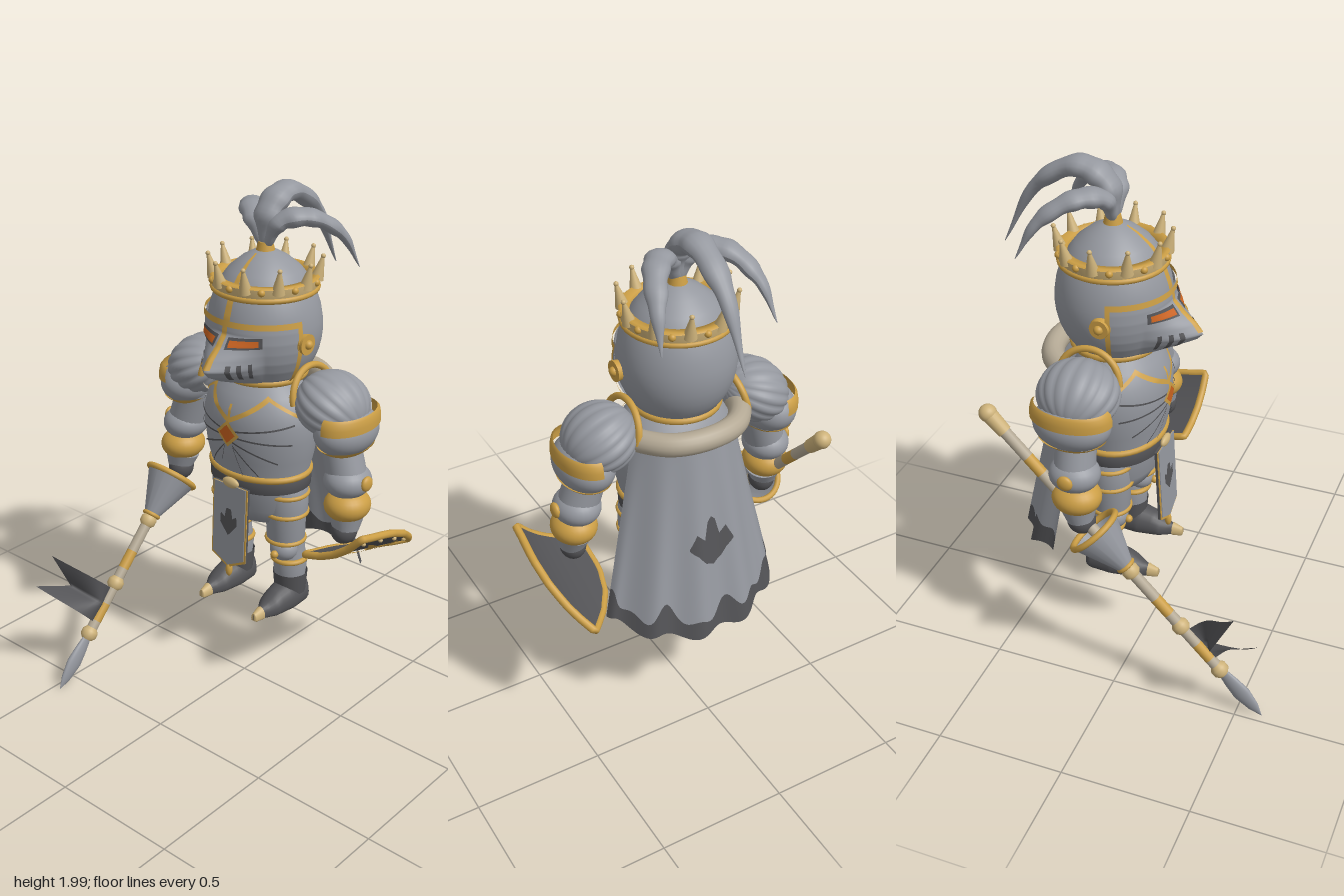
import * as THREE from 'three';
import { ParametricGeometry } from 'three/addons/geometries/ParametricGeometry.js';

const mat = (name, color) => Object.assign(new THREE.MeshStandardMaterial({ color, side: THREE.DoubleSide }), { name });
const V = (x, y, z) => new THREE.Vector3(x, y, z);

// piecewise linear profile through [t, value] pairs
function pl(pts, t) {
  for (let i = 1; i < pts.length; i++) {
    const [a, p] = pts[i - 1], [b, q] = pts[i];
    if (t <= b) return p + (q - p) * Math.max(0, (t - a) / (b - a));
  }
  return pts[pts.length - 1][1];
}

// part of a surface fn(u, v, offset, target) between u0..u1 and lo(u)..hi(u)
function patch(fn, u0, u1, lo, hi, off = 0, nu = 16, nv = 6) {
  const at = (f, u) => (typeof f === 'function' ? f(u) : f);
  const g = new ParametricGeometry((s, t, p) => {
    const u = u0 + (u1 - u0) * s;
    fn(u, at(lo, u) + (at(hi, u) - at(lo, u)) * t, off, p);
  }, nu, nv);
  g.computeVertexNormals();
  return g;
}

export function createModel() {
  const steel = mat('steel', 0x95989f), dark = mat('darkSteel', 0x535356), gold = mat('gold', 0xcb9e45);
  const pale = mat('paleGold', 0xcdb27a), bone = mat('fur', 0xb4a995), orange = mat('orangeGlow', 0xcc6420);
  const root = new THREE.Group();
  root.name = 'knight';
  const body = new THREE.Group();
  body.name = 'body';
  body.position.x = -0.035;
  root.add(body);

  const add = (parent, name, geo, m, x = 0, y = 0, z = 0) => {
    const mesh = new THREE.Mesh(geo, m);
    mesh.name = name;
    mesh.position.set(x, y, z);
    parent.add(mesh);
    return mesh;
  };
  const ball = (parent, name, m, x, y, z, rx, ry = rx, rz = rx) => {
    const b = add(parent, name, new THREE.SphereGeometry(1, 28, 18), m, x, y, z);
    b.scale.set(rx, ry, rz);
    return b;
  };
  const limb = (parent, name, m, p, q, r1, r2) => {
    const d = q.clone().sub(p), c = p.clone().lerp(q, 0.5);
    const mesh = add(parent, name, new THREE.CylinderGeometry(r2, r1, d.length(), 24), m, c.x, c.y, c.z);
    mesh.quaternion.setFromUnitVectors(V(0, 1, 0), d.normalize());
    return mesh;
  };
  // flat ring around the vertical axis
  const ring = (parent, name, m, x, y, z, r, tube, sz = 1) =>
    add(parent, name, new THREE.TorusGeometry(r, tube, 10, 40).rotateX(Math.PI / 2).scale(1, 1, sz), m, x, y, z);
  const lathe = (pts, start = 0, sweep = Math.PI * 2) =>
    new THREE.LatheGeometry(pts.map(([y, r]) => new THREE.Vector2(r, y)), 48, start, sweep);

  // ---- helmet ----
  const HZ = -0.16;
  const headP = [[1.27, 0.13], [1.3, 0.165], [1.34, 0.19], [1.38, 0.207], [1.42, 0.216], [1.46, 0.22], [1.5, 0.218],
    [1.55, 0.21], [1.6, 0.193], [1.65, 0.168], [1.69, 0.138], [1.73, 0.09], [1.755, 0.045], [1.77, 0.001]];
  const headFn = (a, y, o, p) => { const r = pl(headP, y) + o; p.set(r * Math.sin(a), y, HZ + r * Math.cos(a)); };
  const beak = [[1.275, 0.05], [1.31, 0.55], [1.345, 0.9], [1.37, 1], [1.41, 0.68], [1.45, 0.27], [1.49, 0]];
  const visorFn = (a, y, o, p) =>
    headFn(a, y, o + 0.008 + 0.135 * pl(beak, y) * Math.pow(Math.max(0, 1 - Math.abs(a) / 0.7), 1.35), p);
  add(body, 'helmet', lathe(headP), steel, 0, 0, HZ);
  add(body, 'visor', patch(visorFn, -1.3, 1.3, 1.28, 1.535, 0, 80, 51), steel);
  add(body, 'visorTopTrim', patch(headFn, -1.32, 1.32, 1.52, 1.542, 0.016, 40, 2), gold);
  add(body, 'visorRidge', patch(visorFn, -0.05, 0.05, 1.38, 1.535, 0.006, 6, 30), gold);
  add(body, 'helmetRidge', patch(headFn, -0.07, 0.07, 1.535, 1.755, 0.008, 4, 20), gold);
  ring(body, 'helmetCollar', gold, 0, 1.285, HZ, 0.155, 0.016);
  for (const s of [-1, 1]) {
    add(body, 'visorSideTrim', patch(headFn, s * 1.25, s * 1.33, 1.285, 1.542, 0.016, 3, 12), gold);
    const slant = d => u => d + 0.012 * Math.abs(u);
    add(body, 'eyeSlit', patch(visorFn, s * 0.1, s * 0.66, slant(1.444), slant(1.484), 0.006, 24, 8), dark);
    add(body, 'eye', patch(visorFn, s * 0.14, s * 0.6, slant(1.452), slant(1.475), 0.009, 20, 6), orange);
    for (const a of [0.22, 0.34, 0.48])
      add(body, 'vent', patch(visorFn, s * (a - 0.03), s * (a + 0.025), 1.33, 1.395, 0.006, 6, 14), dark);
    const pivot = add(body, 'visorPivot', new THREE.CylinderGeometry(0.036, 0.04, 0.03, 24), gold, s * 0.222, 1.45, HZ + 0.035);
    pivot.rotation.z = Math.PI / 2;
    ball(body, 'pivotKnob', gold, s * 0.236, 1.45, HZ + 0.035, 0.018);
  }

  // ---- crown ----
  const crown = new THREE.Group();
  crown.name = 'crown';
  crown.position.set(0, 0, HZ);
  body.add(crown);
  add(crown, 'crownBand', lathe([[1.615, 0.19], [1.615, 0.2], [1.665, 0.204]]), pale);
  add(crown, 'crownTop', lathe([[1.665, 0.206], [1.672, 0.198], [1.668, 0.168], [1.64, 0.165]]), gold);
  ring(crown, 'crownRim', gold, 0, 1.622, 0, 0.196, 0.012);
  for (let i = 0; i < 10; i++) {
    const a = (i + 0.5) / 10 * Math.PI * 2, sx = Math.sin(a), cz = Math.cos(a);
    limb(crown, 'crownPoint', pale, V(sx * 0.192, 1.65, cz * 0.192), V(sx * 0.213, 1.735, cz * 0.213), 0.026, 0.006);
    ball(crown, 'crownPearl', pale, sx * 0.214, 1.738, cz * 0.214, 0.009);
    ball(crown, 'crownStud', gold, Math.sin(a + 0.314) * 0.202, 1.655, Math.cos(a + 0.314) * 0.202, 0.014);
  }

  // ---- plume ----
  const feather = (pts, width, thick) => {
    const c = new THREE.CatmullRomCurve3(pts), end = pts[pts.length - 1];
    const side = V(end.x, 0, end.z - pts[0].z).cross(V(0, 1, 0)).normalize();
    const g = new ParametricGeometry((u, v, p) => {
      const a = u * Math.PI * 2, n = side.clone().cross(c.getTangent(v)).normalize();
      const w = pl([[0, 0.45], [0.2, 0.9], [0.4, 1], [0.7, 0.72], [1, 0.03]], v) * (1 + 0.06 * Math.sin(v * 40));
      p.copy(c.getPoint(v)).addScaledVector(side, width * w * Math.cos(a)).addScaledVector(n, thick * w * Math.sin(a));
    }, 16, 40);
    g.computeVertexNormals();
    add(body, 'plumeFeather', g, steel);
  };
  add(body, 'plumeSocket', new THREE.CylinderGeometry(0.028, 0.04, 0.05, 20), gold, 0, 1.765, HZ);
  feather([V(0, 1.77, -0.16), V(0, 1.9, -0.175), V(0, 1.955, -0.28), V(0, 1.86, -0.45), V(0, 1.61, -0.595)], 0.06, 0.043);
  for (const s of [-1, 1])
    feather([V(0, 1.77, -0.16), V(s * 0.06, 1.87, -0.17), V(s * 0.14, 1.885, -0.25), V(s * 0.2, 1.81, -0.36), V(s * 0.228, 1.67, -0.44)], 0.052, 0.036);

  // ---- breastplate ----
  const chestP = [[0.86, 0.205], [0.9, 0.208], [0.97, 0.226], [1.05, 0.238], [1.12, 0.24], [1.18, 0.225], [1.23, 0.19], [1.28, 0.14], [1.3, 0.1]];
  const chestFn = (a, y, o, p) => { const r = pl(chestP, y) + o; p.set(r * Math.sin(a), y, -0.14 + 0.8 * r * Math.cos(a)); };
  add(body, 'breastplate', lathe(chestP).scale(1, 1, 0.8), steel, 0, 0, -0.14);
  const seam = (name, m, a0, y0, a1, y1, w) => {
    const f = d => u => y0 + (y1 - y0) * (u - a0) / (a1 - a0) + d;
    add(body, name, patch(chestFn, a0, a1, f(-w), f(w), 0.006, 20, 2), m);
  };
  add(body, 'chestRidge', patch(chestFn, -0.025, 0.025, 1.1, 1.2, 0.006, 3, 16), gold);
  for (const s of [-1, 1]) {
    seam('neckTrim', gold, s * 0.02, 1.14, s * 0.75, 1.235, 0.01);
    seam('sideTrim', gold, s * 0.75, 1.235, s * 1.3, 1.17, 0.008);
    [[0.25, 0.91], [0.55, 0.92], [0.9, 0.98], [1.15, 1.06], [1.2, 1.14]].forEach(([a, y]) =>
      seam('chestGroove', dark, s * 0.08, 1.03 + (y - 0.9) * 0.28, s * a, y, 0.0035));
  }
  const gem = (name, m, h) =>
    add(body, name, patch(chestFn, -h * 4, h * 4, u => 1.085 - h + Math.abs(u) / 4, u => 1.085 + h - Math.abs(u) / 4, 0.02 - h * 0.15, 16, 4), m);
  gem('gemFrame', gold, 0.055);
  gem('gem', orange, 0.038);

  // ---- belt, hips and tabard ----
  ring(body, 'beltTrim', gold, 0, 0.9, -0.14, 0.209, 0.014, 0.8);
  add(body, 'belt', lathe([[0.835, 0.205], [0.84, 0.215], [0.885, 0.217], [0.89, 0.205]]).scale(1, 1, 0.8), dark, 0, 0, -0.14);
  add(body, 'hips', lathe([[0.69, 0.001], [0.69, 0.15], [0.75, 0.19], [0.85, 0.205]]).scale(1, 1, 0.75), steel, 0, 0, -0.14);
  ball(body, 'buckle', pale, 0, 0.87, 0.04, 0.04, 0.022, 0.015);
  const tabard = new THREE.Group();
  tabard.name = 'tabard';
  tabard.position.set(0, 0.86, 0.028);
  tabard.rotation.x = -0.05;
  body.add(tabard);
  const flat = pts => new THREE.Shape(pts.map(([x, y]) => new THREE.Vector2(x, y)));
  const plate = (pts, depth) => new THREE.ExtrudeGeometry(flat(pts), { depth, bevelEnabled: false });
  add(tabard, 'tabardBacking', plate([[-0.087, 0], [-0.087, -0.315], [0, -0.358], [0.087, -0.315], [0.087, 0]], 0.01), dark);
  add(tabard, 'tabardBorder', plate([[-0.087, 0], [-0.087, -0.315], [0, -0.358], [0.087, -0.315], [0.087, 0]], 0.004), gold, 0, 0, 0.01);
  add(tabard, 'tabardPanel', plate([[-0.08, 0], [-0.08, -0.307], [0, -0.347], [0.08, -0.307], [0.08, 0]], 0.005), steel, 0, 0, 0.012);
  add(tabard, 'tabardEmblem', new THREE.ShapeGeometry(flat([[0, -0.215], [-0.022, -0.19], [-0.042, -0.165], [-0.04, -0.125],
    [-0.02, -0.14], [-0.012, -0.1], [0.012, -0.1], [0.02, -0.14], [0.04, -0.125], [0.042, -0.165], [0.022, -0.19]])), dark, 0, 0, 0.02);
  ball(tabard, 'tabardTassel', gold, 0, -0.37, 0.006, 0.014, 0.03, 0.014);

  // ---- legs and boots ----
  const bootW = [[0, 0.03], [0.1, 0.058], [0.4, 0.066], [0.7, 0.05], [0.85, 0.022], [1, 0.01]];
  const bootH = [[0, 0.09], [0.1, 0.1], [0.42, 0.1], [0.6, 0.085], [0.78, 0.052], [1, 0.028]];
  const boot = (v0, v1, grow) => new ParametricGeometry((u, v, p) => {
    const t = v0 + (v1 - v0) * v, a = u * Math.PI * 2, end = v === 0 || v === 1 ? 0.02 : 1;
    p.set(end * (pl(bootW, t) + grow) * Math.cos(a), 0.31 + (pl(bootH, t) + grow) * Math.max(0, 0.3 + 0.7 * Math.sin(a)), -0.245 + 0.31 * t);
  }, 24, 24);
  for (const s of [-1, 1]) {
    const x = s * 0.14, z = -0.15;
    add(body, 'thighGuard', lathe([[0.6, 0.06], [0.6, 0.076], [0.73, 0.08], [0.73, 0.086], [0.82, 0.088], [0.86, 0.07]]), steel, x * 0.97, 0, z + 0.015);
    [[0.815, 0.084], [0.73, 0.083], [0.61, 0.074]].forEach(([y, r]) => ring(body, 'thighTrim', gold, x * 0.97, y, z + 0.015, r, 0.01));
    add(body, 'greave', lathe([[0.38, 0.055], [0.42, 0.06], [0.49, 0.068], [0.55, 0.06], [0.61, 0.055]]), steel, x, 0, z - 0.01);
    add(body, 'ankleBand', lathe([[0.36, 0.062], [0.4, 0.066], [0.45, 0.07]]), dark, x, 0, z - 0.012);
    ball(body, 'kneeGuard', steel, x, 0.565, z + 0.03, 0.058, 0.05, 0.055);
    ring(body, 'kneeTrim', gold, x, 0.515, z - 0.005, 0.066, 0.011);
    ball(body, 'kneeKnob', gold, x, 0.56, z + 0.09, 0.016);
    add(body, 'boot', boot(0, 1, 0), dark, x);
    add(body, 'toeCap', boot(0.86, 1, 0.004), pale, x);
  }

  // ---- arms ----
  const ribbed = () => {
    const g = new THREE.SphereGeometry(1, 96, 24), p = g.attributes.position;
    for (let i = 0; i < p.count; i++) {
      const k = 0.96 + 0.05 * Math.abs(Math.sin(8 * Math.atan2(p.getZ(i), p.getX(i))));
      p.setXYZ(i, p.getX(i) * k, p.getY(i), p.getZ(i) * k);
    }
    g.rotateZ(Math.PI / 2).computeVertexNormals();
    return g;
  };
  for (const s of [-1, 1]) {
    const arm = new THREE.Group();
    arm.name = s > 0 ? 'leftArm' : 'rightArm';
    body.add(arm);
    const dome = add(arm, 'pauldron', ribbed(), steel, s * 0.325, 1.225, -0.17);
    dome.scale.set(0.14, 0.118, 0.155);
    dome.rotation.z = -s * 0.45;
    const shell = add(arm, 'shoulderPlate', new THREE.SphereGeometry(1, 36, 24), steel, s * 0.39, 1.14, -0.17);
    shell.scale.set(0.108, 0.095, 0.148);
    // gold bands on the outer side of the shoulder
    add(arm, 'shoulderBand', lathe([[1.165, 0.158], [1.19, 0.158], [1.215, 0.152], [1.225, 0.14]], s > 0 ? 0 : Math.PI, Math.PI).scale(0.68, 1, 1),
      gold, s * 0.39, 0, -0.17);
    const lower = add(arm, 'shoulderLowerBand', new THREE.SphereGeometry(1, 36, 8, 0, Math.PI * 2, 0.68 * Math.PI, 0.2 * Math.PI), gold, s * 0.39, 1.14, -0.17);
    lower.scale.set(0.113, 0.1, 0.153);
    const arch = add(arm, 'pauldronArch', new THREE.TorusGeometry(0.12, 0.013, 10, 30, Math.PI).rotateY(Math.PI / 2), gold, s * 0.232, 1.23, -0.17);
    arch.rotation.z = s * 0.2;
    limb(arm, 'upperArm', steel, V(s * 0.36, 1.12, -0.165), V(s * 0.415, 0.94, -0.155), 0.075, 0.078);
    ball(arm, 'elbow', steel, s * 0.415, 0.945, -0.155, 0.09, 0.068, 0.097);
    ball(arm, 'elbowKnob', gold, s * 0.503, 0.955, -0.155, 0.016, 0.03, 0.03);
    ball(arm, 'vambrace', gold, s * 0.425, 0.85, -0.145, 0.088, 0.065, 0.094);
    limb(arm, 'cuff', steel, V(s * 0.425, 0.81, -0.14), V(s * 0.432, 0.75, -0.13), 0.07, 0.05);
    ball(arm, 'gauntlet', dark, s * 0.425, 0.745, -0.13, 0.05, 0.055, 0.055);
  }

  // ---- cape ----
  const edge = Math.cos(1.3);
  const capeFn = (u, v, o, p) => {
    const a = u * 1.3, d = (Math.cos(a) - edge) / (1 - edge);
    p.set((0.2 + 0.17 * v) * Math.sin(a) / Math.sin(1.3) + 0.012 * v, 1.23 - (0.72 + 0.08 * d) * v + 0.013 * v * Math.cos(u * 15),
      -0.2 - 0.09 * v - (0.16 + 0.065 * v) * d + 0.016 * v * Math.cos(u * 15 + 1) - o);
  };
  const hem = u => 0.9 + 0.035 * Math.sin(u * 11) + 0.025 * Math.sin(u * 23 + 1);
  add(body, 'cape', patch(capeFn, -1, 1, 0, hem, 0, 80, 24), steel);
  add(body, 'capeHem', patch(capeFn, -1, 1, hem, 1, 0, 80, 4), dark);
  add(body, 'capeEmblem', patch(capeFn, -0.24, 0.24,
    u => pl([[0, 0.4], [0.05, 0.42], [0.09, 0.5], [0.17, 0.46], [0.24, 0.53]], Math.abs(u)),
    u => pl([[0, 0.65], [0.09, 0.62], [0.16, 0.57], [0.24, 0.54]], Math.abs(u)), 0.007, 48, 10), dark);
  const collar = new THREE.CatmullRomCurve3([V(-0.2, 1.2, -0.08), V(-0.235, 1.22, -0.2), V(-0.14, 1.235, -0.35), V(0, 1.24, -0.39),
    V(0.14, 1.235, -0.35), V(0.235, 1.22, -0.2), V(0.2, 1.2, -0.08)]);
  add(body, 'furCollar', new THREE.TubeGeometry(collar, 48, 0.043, 16), bone);

  // ---- lance: local y runs from tip to butt ----
  const lance = new THREE.Group();
  lance.name = 'lance';
  lance.position.set(-0.468, 0.005, 0.6);
  lance.quaternion.setFromUnitVectors(V(0, 1, 0), V(0, 1.13, -1.08).normalize());
  root.add(lance);
  add(lance, 'spearhead', lathe([[0, 0.001], [0.05, 0.024], [0.12, 0.038], [0.18, 0.031], [0.25, 0.018]]).scale(0.5, 1, 1), steel);
  for (let i = 0; i < 16; i++)
    add(lance, 'shaftSegment', new THREE.CylinderGeometry(0.022, 0.022, 0.08, 16), i % 3 === 1 ? gold : bone, 0, 0.27 + i * 0.08);
  [0.25, 0.48, 0.77].forEach(y => {
    add(lance, 'shaftCollar', lathe([[-0.025, 0.02], [-0.01, 0.033], [0.012, 0.033], [0.03, 0.02]]), pale, 0, y);
  });
  add(lance, 'handGuard', new THREE.CylinderGeometry(0.105, 0.032, 0.18, 16, 1, true), steel, 0, 0.89);
  ring(lance, 'guardRim', gold, 0, 0.98, 0, 0.102, 0.012);
  ring(lance, 'guardBase', gold, 0, 0.8, 0, 0.03, 0.009);
  add(lance, 'butt', new THREE.CylinderGeometry(0.031, 0.027, 0.09, 20), pale, 0, 1.52);
  ball(lance, 'buttKnob', pale, 0, 1.567, 0, 0.034);
  const flagFn = (u, v, o, p) =>
    p.set(-0.1 * u * u + 0.015 * Math.sin(u * 6), 0.3 + 0.155 * v + u * 0.02 * (1 - v), 0.01 + u * (0.11 + 0.185 * Math.abs(2 * v - 1)));
  add(lance, 'pennant', patch(flagFn, 0, 1, 0, 1, 0, 14, 14), dark);

  // ---- shield: local x across, y toward the point, outer face on -z ----
  const shield = new THREE.Group();
  shield.name = 'shield';
  const su = V(0.856, 0.517, 0).normalize(), sn = su.clone().cross(V(0.043, -0.247, -0.968)).normalize();
  shield.quaternion.setFromRotationMatrix(new THREE.Matrix4().makeBasis(su, sn.clone().cross(su), sn));
  shield.position.set(0.432, 0.735, -0.005).addScaledVector(sn, -0.03);
  root.add(shield);
  const shieldW = y => pl([[0, 0.15], [0.17, 0.158], [0.28, 0.132], [0.38, 0.075], [0.46, 0.004]], y);
  const shieldFn = (x, y, o, p) => p.set(x - 0.08 * y, y, 1.2 * x * x + o);
  const wideFn = (s, y, o, p) => shieldFn(s * shieldW(y), y, o, p);
  add(shield, 'shieldFace', patch(wideFn, -1, 1, 0, 0.46, 0, 24, 24), dark);
  add(shield, 'shieldBack', patch(wideFn, -1, 1, 0, 0.46, 0.014, 24, 24), dark);
  const rim = [];
  for (const s of [-1, 1])
    for (let i = 0; i <= 10; i++) { const p = V(); wideFn(s, 0.046 * (s < 0 ? i : 10 - i), 0.003, p); rim.push(p); }
  for (const s of [0.5, 0, -0.5]) { const p = V(); wideFn(s, 0, 0.003, p); rim.push(p); }
  add(shield, 'shieldRim', new THREE.TubeGeometry(new THREE.CatmullRomCurve3(rim, true, 'catmullrom', 0.2), 120, 0.015, 10, true), gold);
  add(shield, 'shieldEmblem', patch(shieldFn, -0.03, 0.03, u => 0.19 - (0.03 - Math.abs(u)) * 5, u => 0.19 + (0.03 - Math.abs(u)) * 4.5, -0.007, 8, 8), gold);
  for (const s of [-1, 1]) {
    const wing = (a, b, y, k, h) => add(shield, 'shieldEmblemLeaf', patch(shieldFn, s * a, s * b, u => y + k * (Math.abs(u) - a),
      u => y + k * (Math.abs(u) - a) + h * Math.sin(Math.PI * (Math.abs(u) - a) / (b - a)), -0.007, 12, 4), gold);
    wing(0.012, 0.115, 0.17, -0.9, 0.06);
    wing(0.012, 0.095, 0.21, 0.9, 0.045);
    for (const y of [0.04, 0.14, 0.24, 0.34]) {
      const p = V();
      wideFn(s * 0.8, y, -0.003, p);
      ball(shield, 'shieldStud', pale, p.x, p.y, p.z, 0.009);
    }
  }
  return root;
}
